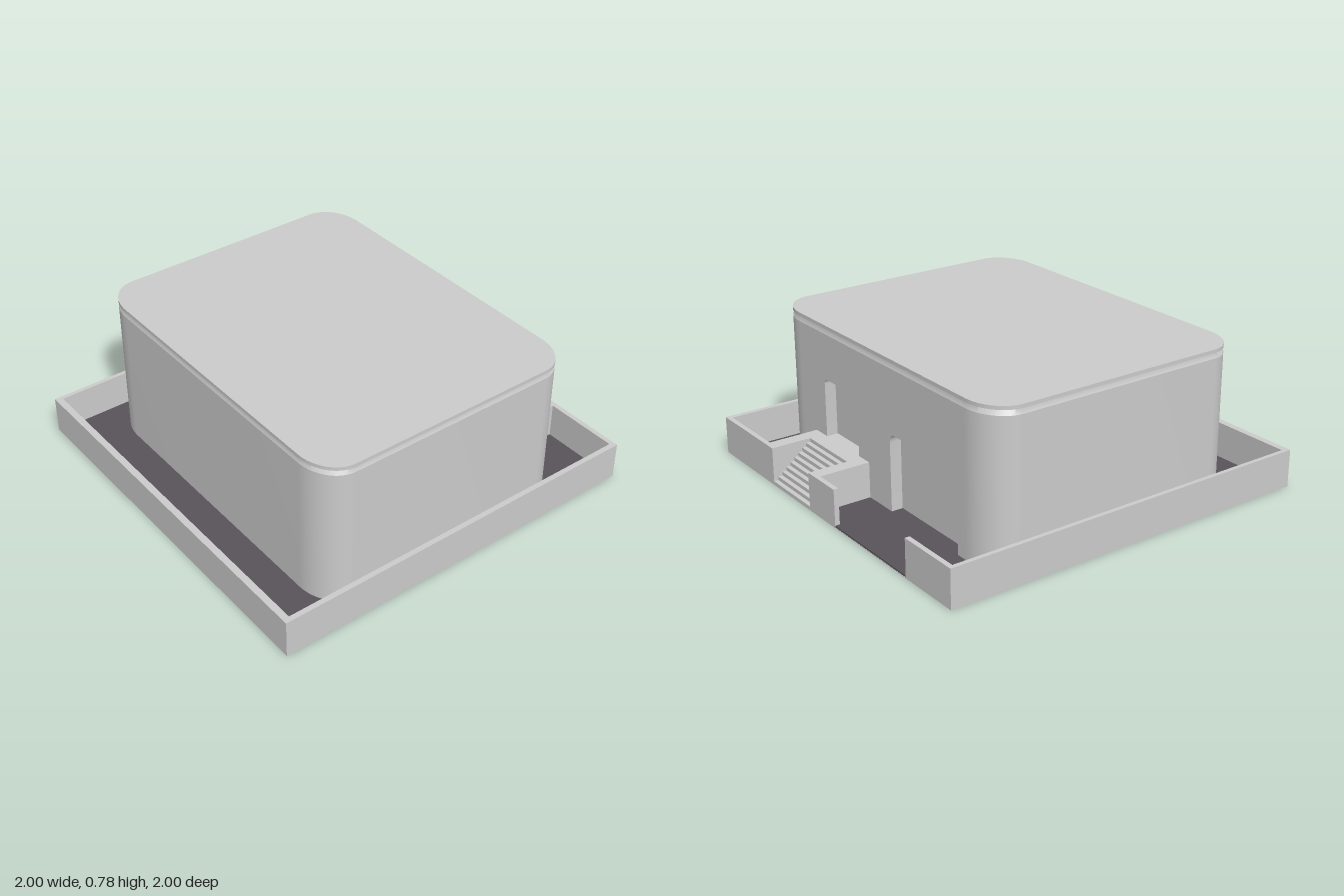
import * as THREE from 'three';
import { toCreasedNormals } from 'three/addons/utils/BufferGeometryUtils.js';

const grey = new THREE.MeshStandardMaterial({ color: 0xcccccc });
const dark = new THREE.MeshStandardMaterial({ color: 0x59535a });

const HX = 0.9, HZ = 0.71;      // house half width and half depth
const RX = 0.2, RZ = 0.16;      // rounded corner size
const WALL_H = 0.195;           // height of yard wall and landing
const FLOOR = 0.012;            // top of the yard floor
const EAVES = 0.735;            // top of the house walls
const RECESS = 0.06;            // depth of the door openings

// Rounded plan of the house; the back is towards +y of the shape
function housePlan(notch) {
  const s = new THREE.Shape();
  const cx = HX - RX, cy = HZ - RZ;
  s.moveTo(-cx, HZ);
  s.absellipse(-cx, cy, RX, RZ, Math.PI / 2, Math.PI, false, 0);
  s.absellipse(-cx, -cy, RX, RZ, Math.PI, Math.PI * 1.5, false, 0);
  s.absellipse(cx, -cy, RX, RZ, Math.PI * 1.5, Math.PI * 2, false, 0);
  s.absellipse(cx, cy, RX, RZ, 0, Math.PI / 2, false, 0);
  if (notch) {
    s.lineTo(cx, HZ - notch);
    s.lineTo(-cx, HZ - notch);
  }
  return s;
}

// Opening with rounded top corners
function opening(x0, x1, y0, y1, r) {
  const p = new THREE.Path();
  p.moveTo(x0, y0);
  p.lineTo(x1, y0);
  p.lineTo(x1, y1 - r);
  p.quadraticCurveTo(x1, y1, x1 - r, y1);
  p.lineTo(x0 + r, y1);
  p.quadraticCurveTo(x0, y1, x0, y1 - r);
  p.closePath();
  return p;
}

// Stacks scaled copies of the house plan: profile entries are [inset, y]
function loftPlan(profile) {
  const plan = housePlan(0).getPoints(16);
  if (plan[0].distanceTo(plan[plan.length - 1]) < 1e-6) plan.pop();
  const n = plan.length, pos = [], index = [];
  for (const [inset, y] of profile)
    for (const p of plan)
      pos.push(p.x * (1 - inset / HX), y, -p.y * (1 - inset / HZ));
  for (let k = 0; k < profile.length - 1; k++)
    for (let i = 0; i < n; i++) {
      const j = (i + 1) % n, a = k * n + i, b = k * n + j;
      index.push(a, b, b + n, a, b + n, a + n);
    }
  const g = new THREE.BufferGeometry();
  g.setAttribute('position', new THREE.Float32BufferAttribute(pos, 3));
  g.setIndex(index);
  return toCreasedNormals(g, 0.5);
}

export function createModel() {
  const model = new THREE.Group();

  const add = (name, geometry, material = grey, parent = model) => {
    const mesh = new THREE.Mesh(geometry, material);
    mesh.name = name;
    parent.add(mesh);
    return mesh;
  };
  const box = (name, x0, x1, y0, y1, z0, z1, material, parent) =>
    add(name, new THREE.BoxGeometry(x1 - x0, y1 - y0, z1 - z0), material, parent)
      .position.set((x0 + x1) / 2, (y0 + y1) / 2, (z0 + z1) / 2);

  // Ground slab and dark yard floor
  box('groundSlab', -1, 1, 0, 0.004, -1, 1);
  box('yardFloor', -0.999, 0.999, 0.004, FLOOR, -0.999, 0.999, dark);

  // Yard wall, open at the back for the stairs and the driveway
  const yard = new THREE.Group();
  yard.name = 'yardWall';
  model.add(yard);
  box('leftWall', 0.973, 1, 0, WALL_H, -1, 1, grey, yard);
  box('rightWall', -1, -0.978, 0, WALL_H, -1, 1, grey, yard);
  box('frontWall', -0.978, 0.973, 0, WALL_H, 0.965, 1, grey, yard);
  for (const [x0, x1] of [[-0.978, -0.66], [-0.07, 0.09], [0.58, 0.973]])
    box('backWall', x0, x1, 0, WALL_H, -1, -0.975, grey, yard);

  // Entrance stairs between two cheeks, leading to a landing
  const stairs = new THREE.Group();
  stairs.name = 'entranceStairs';
  model.add(stairs);
  box('landing', 0.09, 0.58, 0, WALL_H, -0.79, -HZ, grey, stairs);
  box('stairCheek', 0.09, 0.16, 0, WALL_H, -1, -0.79, grey, stairs);
  box('stairCheek', 0.51, 0.58, 0, WALL_H, -1, -0.79, grey, stairs);
  const steps = 9, tread = 0.21 / steps, rise = WALL_H / (steps + 1);
  for (let i = 0; i < steps; i++)
    box('step', 0.16, 0.51, 0, rise * (i + 1), -1 + tread * i, -1 + tread * (i + 1), grey, stairs);

  // House walls, notched at the back to take the panel with the openings
  const house = new THREE.Group();
  house.name = 'house';
  model.add(house);
  const walls = new THREE.ExtrudeGeometry(housePlan(RECESS), {
    depth: EAVES - 0.006, bevelEnabled: false, curveSegments: 16,
  });
  walls.rotateX(-Math.PI / 2).translate(0, 0.006, 0);
  add('houseWalls', toCreasedNormals(walls, 0.5), grey, house);

  // Back panel with door and garage openings
  const px = HX - RX;
  const panel = new THREE.Shape();
  panel.moveTo(-px, 0.006);
  panel.lineTo(px, 0.006);
  panel.lineTo(px, EAVES);
  panel.lineTo(-px, EAVES);
  panel.closePath();
  panel.holes.push(opening(0.18, 0.48, WALL_H, 0.5, 0.03));
  panel.holes.push(opening(-0.64, -0.1, 0.008, 0.41, 0.05));
  const back = new THREE.ExtrudeGeometry(panel, {
    depth: RECESS, bevelEnabled: false, curveSegments: 8,
  });
  back.translate(0, 0, -HZ);
  add('backPanel', toCreasedNormals(back, 0.5), grey, house);

  // Sloped groove under the roof edge, then the flat roof
  add('roofEdge', loftPlan([[0, EAVES], [0.01, 0.757], [0.01, 0.76], [0, 0.762], [0, 0.78]]), grey, house);
  const roof = new THREE.ShapeGeometry(housePlan(0), 16);
  roof.rotateX(-Math.PI / 2).translate(0, 0.78, 0);
  add('roof', roof, grey, house);

  return model;
}
